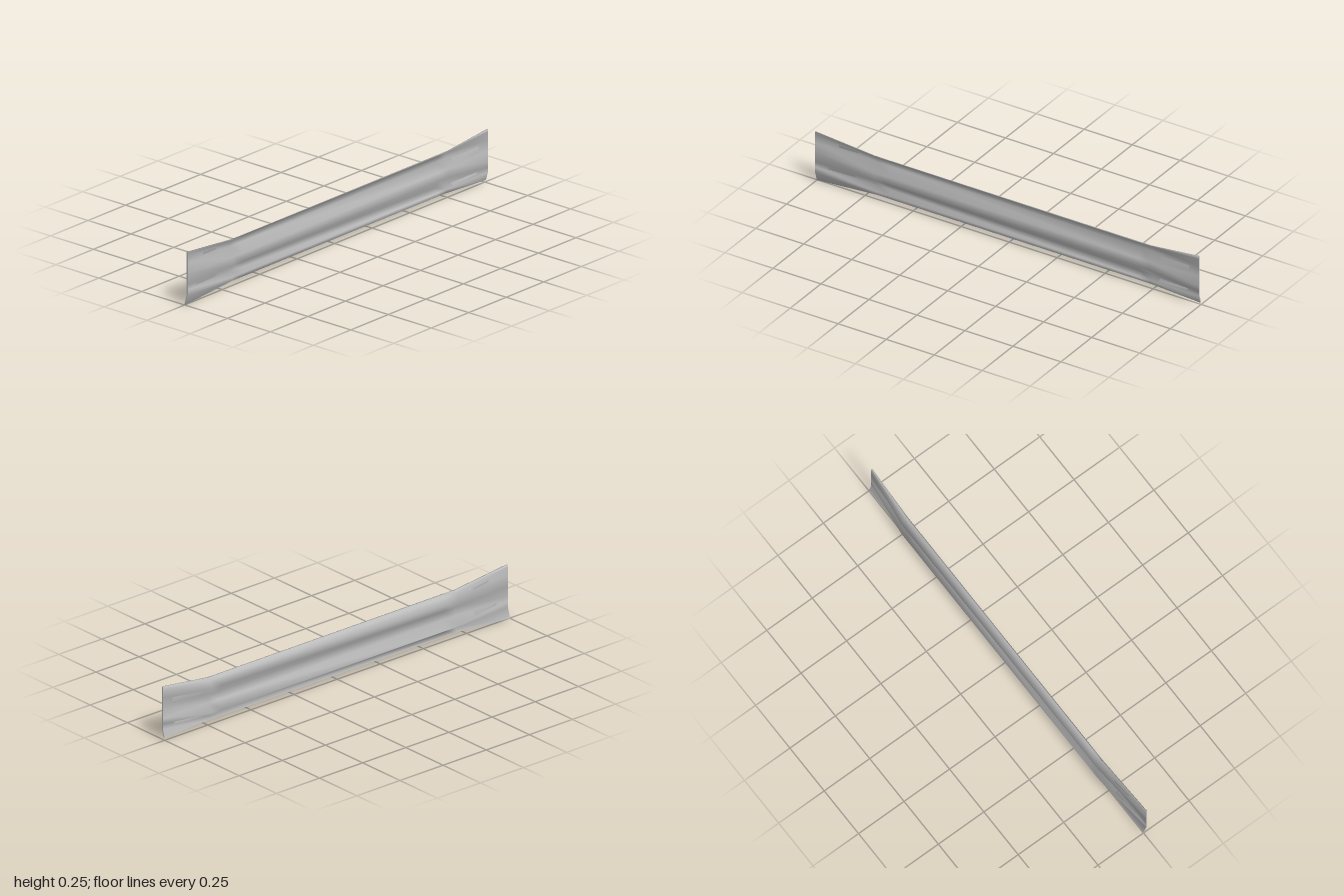
import * as THREE from 'three';

// Smooth strip from rows of points; faces (row direction) x (column direction)
function sheet(rows) {
  const cols = rows[0].length, index = [];
  for (let i = 0; i < rows.length - 1; i++) {
    for (let j = 0; j < cols - 1; j++) {
      const a = i * cols + j, b = a + cols;
      index.push(a, b, a + 1, b, b + 1, a + 1);
    }
  }
  const geo = new THREE.BufferGeometry();
  geo.setAttribute('position', new THREE.Float32BufferAttribute(rows.flat(2), 3));
  geo.setIndex(index);
  geo.computeVertexNormals();
  return geo;
}

export function createModel() {
  const steel = new THREE.MeshStandardMaterial({ color: 0xb8b8b8, side: THREE.DoubleSide });
  steel.name = 'galvanised grey';
  const model = new THREE.Group();
  model.name = 'railBeam';

  // Profiles from top to bottom, as [x, y]: rolled top, two ridges and a bottom lip in the
  // middle; flattened plates with a bent foot at the ends
  const corrugated = [
    [0.007, 0.223], [-0.004, 0.213], [-0.02, 0.18], [0.008, 0.14],
    [0.008, 0.1], [-0.02, 0.06], [0.004, 0.044], [-0.003, 0.024],
  ];
  const plate = (foot) => [
    ...[0.253, 0.24, 0.2, 0.15, 0.1, 0.075, 0.05].map((y) => [0.0125, y]), foot,
  ];
  const sections = [
    [-1, plate([0.001, 0.012])], [-0.74, corrugated], [-0.68, corrugated],
    [0.62, corrugated], [0.69, corrugated], [1, plate([-0.003, 0])],
  ];

  // The two skins are one sheet thickness apart
  const thickness = 0.006;
  const skin = (dx) => sections.map(([z, profile]) => profile.map(([x, y]) => [x + dx, y, z]));
  const outer = skin(0), inner = skin(thickness);
  const last = sections.length - 1;

  // Each row runs up the ridged skin, over the top, down the grooved skin and under the foot
  const loops = outer.map((row, i) => [...[...row].reverse(), ...inner[i], row[row.length - 1]]);

  const parts = {
    beamSheet: sheet(loops),
    backEdge: sheet([outer[0], inner[0]]),
    frontEdge: sheet([inner[last], outer[last]]),
  };
  for (const [name, geo] of Object.entries(parts)) {
    const mesh = new THREE.Mesh(geo, steel);
    mesh.name = name;
    model.add(mesh);
  }
  return model;
}
